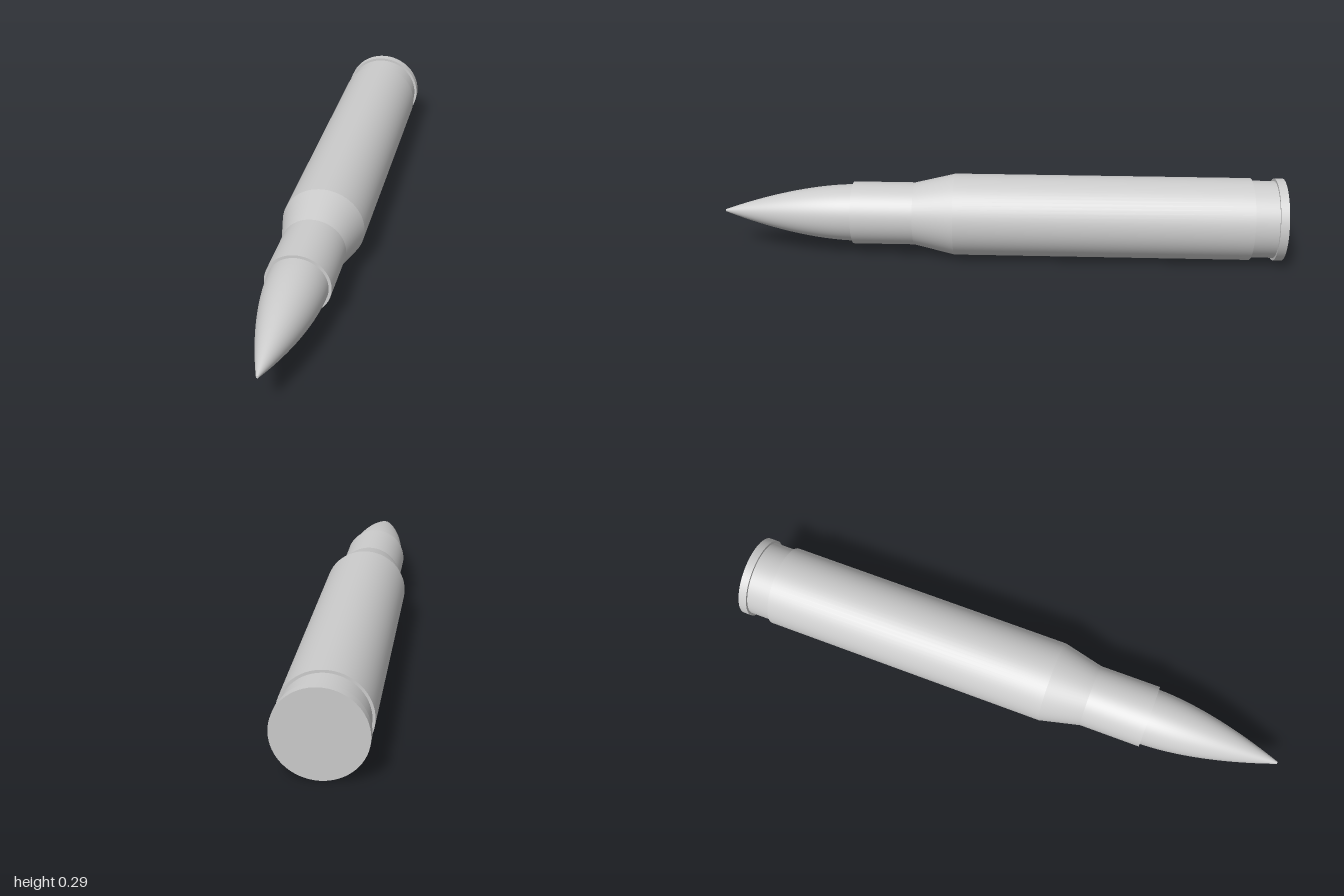
import * as THREE from 'three';
import { mergeGeometries } from 'three/addons/utils/BufferGeometryUtils.js';

const SIDES = 64;
const R = 0.146;        // body radius
const GROOVE = 0.137;   // extractor groove radius
const NECK = 0.112;     // case mouth radius
const TIP = 0.102;      // bullet radius

const material = new THREE.MeshStandardMaterial({ color: 0xcccccc });

// Turned surface from [radius, z] points listed from back to front
function turn(points) {
  const geometry = new THREE.LatheGeometry(points.map(([r, z]) => new THREE.Vector2(r, z)), SIDES);
  return geometry.rotateX(Math.PI / 2);
}

// One lathe per straight section keeps the edges between sections sharp
function turnSharp(points) {
  return mergeGeometries(points.slice(1).map((p, i) => turn([points[i], p])));
}

export function createModel() {
  const group = new THREE.Group();
  group.name = 'cartridge';

  const add = (name, geometry) => {
    const mesh = new THREE.Mesh(geometry, material);
    mesh.name = name;
    mesh.position.y = R;
    group.add(mesh);
  };

  // Flat base and rim
  add('rim', turnSharp([[0, -1], [R, -1], [R, -0.97], [GROOVE, -0.97]]));

  // Recess between rim and body
  add('extractorGroove', turnSharp([[GROOVE, -0.97], [GROOVE, -0.885]]));

  // Body, sloped shoulder, neck and mouth lip
  add('case', turnSharp([
    [GROOVE, -0.885], [R, -0.885], [R, 0.165], [NECK, 0.31], [NECK, 0.53], [TIP - 0.004, 0.53],
  ]));

  // Curved bullet nose with a tiny flat point
  const nose = [];
  for (let i = 0; i <= 20; i++) {
    const t = i / 20;
    nose.push([0.004 + (TIP - 0.004) * (1 - t ** 1.7), 0.53 + 0.47 * t]);
  }
  add('bullet', mergeGeometries([turn(nose), turn([[0.004, 1], [0, 1]])]));

  return group;
}
